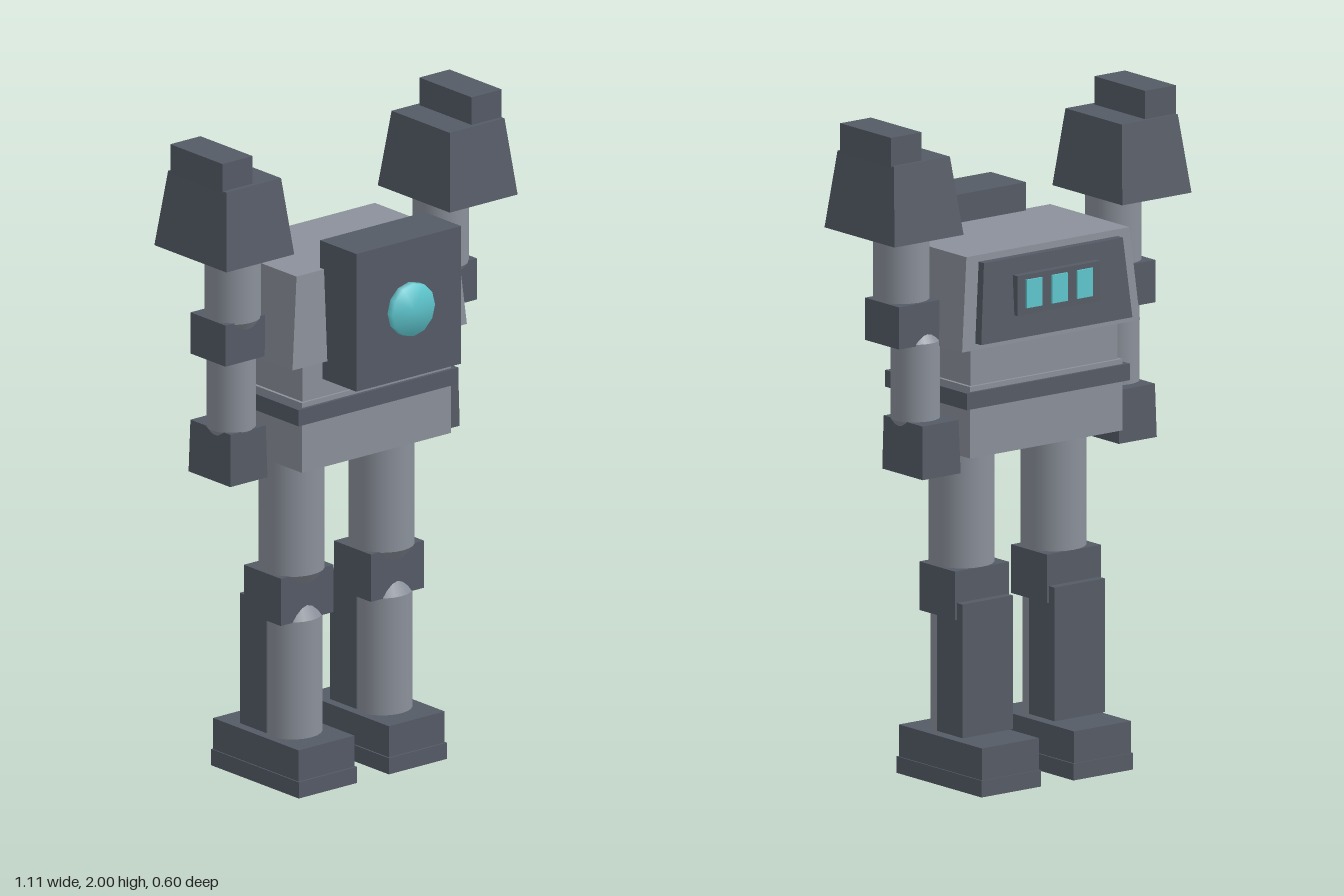
import * as THREE from 'three';
import { mergeVertices } from 'three/addons/utils/BufferGeometryUtils.js';

const paint = (name, color) => {
  const m = new THREE.MeshStandardMaterial({ color });
  m.name = name;
  return m;
};

export function createModel() {
  const light = paint('light grey', 0x8b919b);
  const dark = paint('dark slate', 0x555b66);
  const glow = paint('cyan', 0x5fc8d0);
  const model = new THREE.Group();
  model.name = 'robot';

  const add = (parent, name, geo, mat) => {
    const mesh = new THREE.Mesh(geo, mat);
    mesh.name = name;
    parent.add(mesh);
    return mesh;
  };

  // Block between y0 and y1; bounds are [x0, x1, z0, z1], optionally different at the top.
  const block = (parent, name, mat, y0, y1, bottom, top = bottom) => {
    const geo = new THREE.BoxGeometry(1, 1, 1);
    const p = geo.attributes.position;
    for (let i = 0; i < p.count; i++) {
      const b = p.getY(i) > 0 ? top : bottom;
      p.setXYZ(i, p.getX(i) > 0 ? b[1] : b[0], p.getY(i) > 0 ? y1 : y0, p.getZ(i) > 0 ? b[3] : b[2]);
    }
    geo.computeVertexNormals();
    return add(parent, name, geo, mat);
  };

  // Same block on the left (s = 1) or the right (s = -1)
  const flip = (b, s) => (s > 0 ? b : [-b[1], -b[0], b[2], b[3]]);

  // Round limb made of stacked sections; rings are [y, radius] from the bottom up.
  const limb = (parent, name, x, z, rings) => {
    const g = new THREE.Group();
    g.name = name;
    g.position.set(x, 0, z);
    for (let i = 0; i + 1 < rings.length; i++) {
      const [y0, r0] = rings[i], [y1, r1] = rings[i + 1];
      const geo = new THREE.CylinderGeometry(r1, r0, y1 - y0, 24);
      geo.translate(0, (y0 + y1) / 2, 0);
      add(g, name + 'Section', geo, light);
    }
    parent.add(g);
  };

  // Torso
  block(model, 'chest', light, 1.34, 1.62, [-0.333, 0.333, -0.258, 0.143], [-0.305, 0.305, -0.243, 0.128]);
  block(model, 'waist', light, 1.22, 1.345, [-0.275, 0.275, -0.225, 0.12]);
  block(model, 'hips', light, 1.01, 1.225, [-0.285, 0.285, -0.235, 0.128]);
  block(model, 'belt', dark, 1.16, 1.21, [-0.305, 0.305, -0.245, 0.138]);

  // Large box with a round lamp
  block(model, 'frontPack', dark, 1.28, 1.705, [-0.2, 0.2, 0.11, 0.275]);
  let lampGeo = new THREE.CylinderGeometry(0.081, 0.081, 0.035, 12);
  lampGeo.deleteAttribute('normal');
  lampGeo.deleteAttribute('uv');
  lampGeo = mergeVertices(lampGeo);
  lampGeo.computeVertexNormals();
  const lamp = add(model, 'roundLamp', lampGeo, glow);
  lamp.rotation.x = Math.PI / 2;
  lamp.position.set(0, 1.495, 0.281);

  // Panel with three lit windows on the other side
  block(model, 'rearPanel', dark, 1.36, 1.6, [-0.283, 0.283, -0.285, -0.24], [-0.26, 0.26, -0.269, -0.235]);
  block(model, 'windowFrame', dark, 1.43, 1.55, [-0.155, 0.155, -0.294, -0.26]);
  for (const x of [-0.095, 0, 0.095]) {
    block(model, 'litWindow', glow, 1.45, 1.535, [x - 0.029, x + 0.029, -0.3, -0.292]);
  }

  for (const s of [1, -1]) {
    const side = s > 0 ? 'left' : 'right';

    // Arm
    const arm = new THREE.Group();
    arm.name = side + 'Arm';
    model.add(arm);
    limb(arm, 'upperArm', s * 0.397, -0.053, [[1.4, 0.035], [1.472, 0.083], [1.7, 0.083]]);
    limb(arm, 'forearm', s * 0.373, -0.088, [[1.06, 0.035], [1.12, 0.073], [1.355, 0.073], [1.42, 0.035]]);
    block(arm, 'elbow', dark, 1.35, 1.477, flip([0.328, 0.48, -0.146, 0.013], s));
    block(arm, 'fist', dark, 0.962, 1.122, flip([0.296, 0.438, -0.205, -0.015], s),
      flip([0.3, 0.435, -0.2, -0.018], s));
    block(arm, 'shoulderGuard', dark, 1.682, 1.915, flip([0.297, 0.556, -0.22, 0.108], s),
      flip([0.322, 0.531, -0.187, 0.078], s));
    block(arm, 'shoulderCap', dark, 1.91, 2.0, flip([0.418, 0.533, -0.175, 0.063], s));

    // Leg
    const leg = new THREE.Group();
    leg.name = side + 'Leg';
    model.add(leg);
    limb(leg, 'thigh', s * 0.172, -0.053, [[0.58, 0.043], [0.65, 0.097], [1.02, 0.097]]);
    limb(leg, 'shin', s * 0.172, -0.052, [[0.14, 0.09], [0.507, 0.09], [0.58, 0.055]]);
    block(leg, 'knee', dark, 0.506, 0.652, flip([0.071, 0.273, -0.15, 0.018], s));
    block(leg, 'calfPlate', dark, 0.155, 0.557, flip([0.078, 0.266, -0.177, -0.056], s));
    block(leg, 'foot', dark, 0.05, 0.146, flip([0.066, 0.279, -0.283, 0.106], s));
    block(leg, 'sole', dark, 0, 0.05, flip([0.061, 0.283, -0.287, 0.112], s));
  }
  return model;
}
